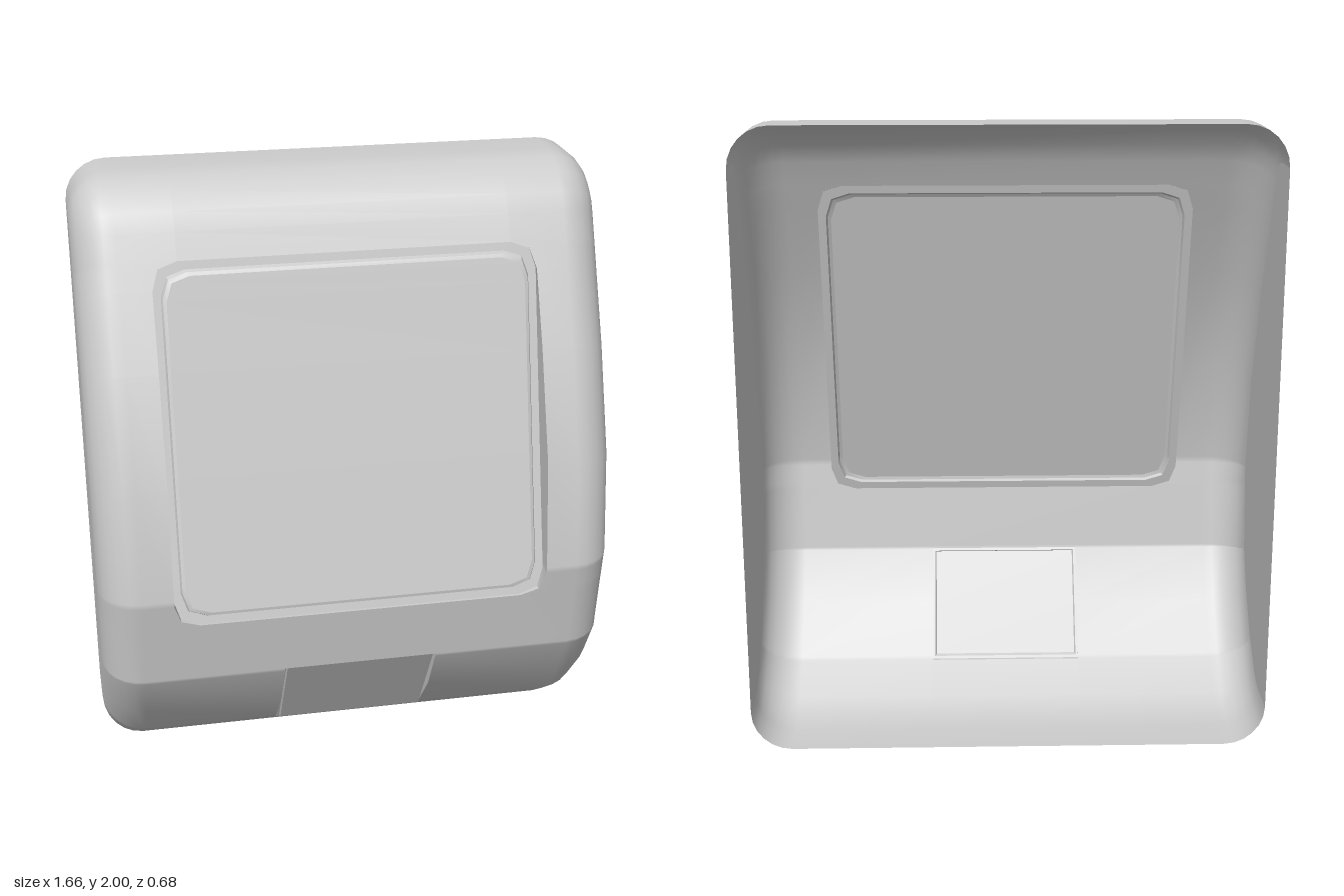
import * as THREE from 'three';
import { toCreasedNormals } from 'three/addons/utils/BufferGeometryUtils.js';

const HALF = 0.83, R = 0.13, BACK = -0.34;

// Side profile [z, y], from the top back edge over the front to the bottom back edge
const profile = [
  [BACK, 2], [-0.2, 2], [-0.14, 1.987], [-0.08, 1.955], [-0.03, 1.905], [0, 1.85], [0.17, 1.46],
  [0.29, 1.12], [0.34, 0.77], [0.29, 0.45], [0.2, 0.29], [0.07, 0.14], [-0.05, 0.05],
  [-0.12, 0.015], [-0.2, 0], [BACK, 0],
];

// Opening outlines as rows [y, half width], top to bottom
const windowRows = [[1.77, 0.52], [1.75, 0.58], [1.69, 0.6], [1.46, 0.6], [1.12, 0.6], [0.77, 0.6],
  [0.75, 0.6], [0.69, 0.58], [0.67, 0.52]];
const flapRows = [[0.46, 0.25], [0.45, 0.25], [0.29, 0.25], [0.14, 0.25], [0.13, 0.25]];

const material = new THREE.MeshStandardMaterial({ color: 0xcccccc, side: THREE.DoubleSide });

// Depth of the front surface at height y
function surfaceZ(y) {
  for (let i = 1; i < profile.length - 1; i++) {
    const [z0, y0] = profile[i], [z1, y1] = profile[i + 1];
    if (y <= y0 && y >= y1 && y0 > y1) return z0 + (z1 - z0) * (y0 - y) / (y0 - y1);
  }
  return BACK;
}

// Mesh from a grid of points; skip(i, j) leaves a cell open
function gridGeometry(rows, skip = () => false) {
  const n = rows[0].length, index = [];
  for (let i = 0; i < rows.length - 1; i++) {
    for (let j = 0; j < n - 1; j++) {
      if (skip(i, j)) continue;
      const a = i * n + j, b = a + n;
      index.push(a, b, b + 1, a, b + 1, a + 1);
    }
  }
  const geometry = new THREE.BufferGeometry();
  geometry.setAttribute('position', new THREE.Float32BufferAttribute(rows.flat(2), 3));
  geometry.setIndex(index);
  geometry.computeVertexNormals();
  return geometry;
}

function addMesh(parent, name, geometry) {
  const mesh = new THREE.Mesh(geometry, material);
  mesh.name = name;
  parent.add(mesh);
}

// Profile rows with the opening rows merged in: { z, y, w, hole }
function shellRows() {
  const rows = [];
  const inside = (y, o) => y <= o[0][0] && y >= o[o.length - 1][0];
  for (const [z, y] of profile) {
    if (!inside(y, windowRows) && !inside(y, flapRows)) rows.push({ z, y, w: y > 0.6 ? 0.52 : 0.25, hole: 0 });
  }
  const openings = [windowRows, flapRows].flatMap((o, k) =>
    o.map(([y, w]) => ({ z: surfaceZ(y), y, w, hole: k + 1 })));
  const split = rows.findIndex((r) => r.y < 0.13);
  rows.splice(split, 0, ...openings.filter((r) => r.hole === 2));
  const top = rows.findIndex((r) => r.y < 0.67);
  rows.splice(top, 0, ...openings.filter((r) => r.hole === 1));
  return rows;
}

function addShell(group) {
  const rows = shellRows(), last = rows.length - 1, steps = 6;
  // Outward direction of each row, used to inset the rounded side edges
  const normals = rows.map((r, i) => {
    if (i === 0) return [0, 1];
    if (i === last) return [0, -1];
    const unit = (p, q) => {
      const dz = q.z - p.z, dy = q.y - p.y, l = Math.hypot(dz, dy);
      return [-dy / l, dz / l];
    };
    const a = unit(rows[i - 1], r), b = unit(r, rows[i + 1]);
    const s = [a[0] + b[0], a[1] + b[1]], l = Math.hypot(...s);
    return [s[0] / l, s[1] / l];
  });
  const inset = (i, d) => [
    i === 0 || i === last ? BACK : rows[i].z - normals[i][0] * d, rows[i].y - normals[i][1] * d];

  const grid = rows.map((r, i) => {
    const right = [[r.w, r.y, r.z]];
    for (let k = 0; k <= steps; k++) {
      const t = (k / steps) * Math.PI / 2;
      const [z, y] = inset(i, R * (1 - Math.cos(t)));
      right.push([HALF - R + R * Math.sin(t), y, z]);
    }
    const left = right.map(([x, y, z]) => [-x, y, z]).reverse();
    return [...left, ...right];
  });
  const middle = steps + 1;
  addMesh(group, 'shell', gridGeometry(grid, (i, j) =>
    j === middle && rows[i].hole > 0 && rows[i].hole === rows[i + 1].hole));

  // Flat side walls
  const outline = rows.map((r, i) => {
    const [z, y] = inset(i, R);
    return new THREE.Vector2(-z, y);
  });
  for (const side of [1, -1]) {
    const wall = new THREE.ShapeGeometry(new THREE.Shape(outline));
    wall.rotateY(Math.PI / 2);
    wall.translate(side * HALF, 0, 0);
    addMesh(group, side > 0 ? 'leftWall' : 'rightWall', wall);
  }
}

// Sunken panel: walls down to a flat plane, a ledge, a bevel and the panel face
function addRecess(group, name, rows, zTop, zBottom, rings) {
  const yTop = rows[0][0], yBottom = rows[rows.length - 1][0], mid = (yTop + yBottom) / 2;
  const halfH = (yTop - yBottom) / 2, halfW = Math.max(...rows.map((r) => r[1]));
  const plane = (y) => zBottom + (zTop - zBottom) * (y - yBottom) / (yTop - yBottom);
  const points = (side, d, lift) => rows.map(([y, w]) => {
    const py = mid + (y - mid) * (1 - d / halfH);
    return [side * w * (1 - d / halfW), py, lift === null ? surfaceZ(y) : plane(py) + lift];
  });
  const loop = (d, lift) => {
    const l = [...points(1, d, lift), ...points(-1, d, lift).reverse()];
    return [...l, l[0]];
  };
  const frame = gridGeometry([loop(0, null), ...rings.map(([d, lift]) => loop(d, lift))].reverse());
  addMesh(group, name + 'Frame', toCreasedNormals(frame, 0.5));

  const [d, lift] = rings[rings.length - 1];
  const right = points(1, d, lift), left = points(-1, d, lift);
  addMesh(group, name + 'Panel', gridGeometry(right.map((p, i) => [left[i], p])));
}

export function createModel() {
  const group = new THREE.Group();
  group.name = 'housing';
  addShell(group);
  addRecess(group, 'window', windowRows, surfaceZ(1.77), surfaceZ(0.67) - 0.01,
    [[0, 0], [0.025, 0], [0.03, 0.012], [0.04, 0.016]]);
  addRecess(group, 'flap', flapRows, surfaceZ(0.46) - 0.02, surfaceZ(0.13) + 0.01,
    [[0, 0], [0.008, 0], [0.012, 0.008]]);
  return group;
}
